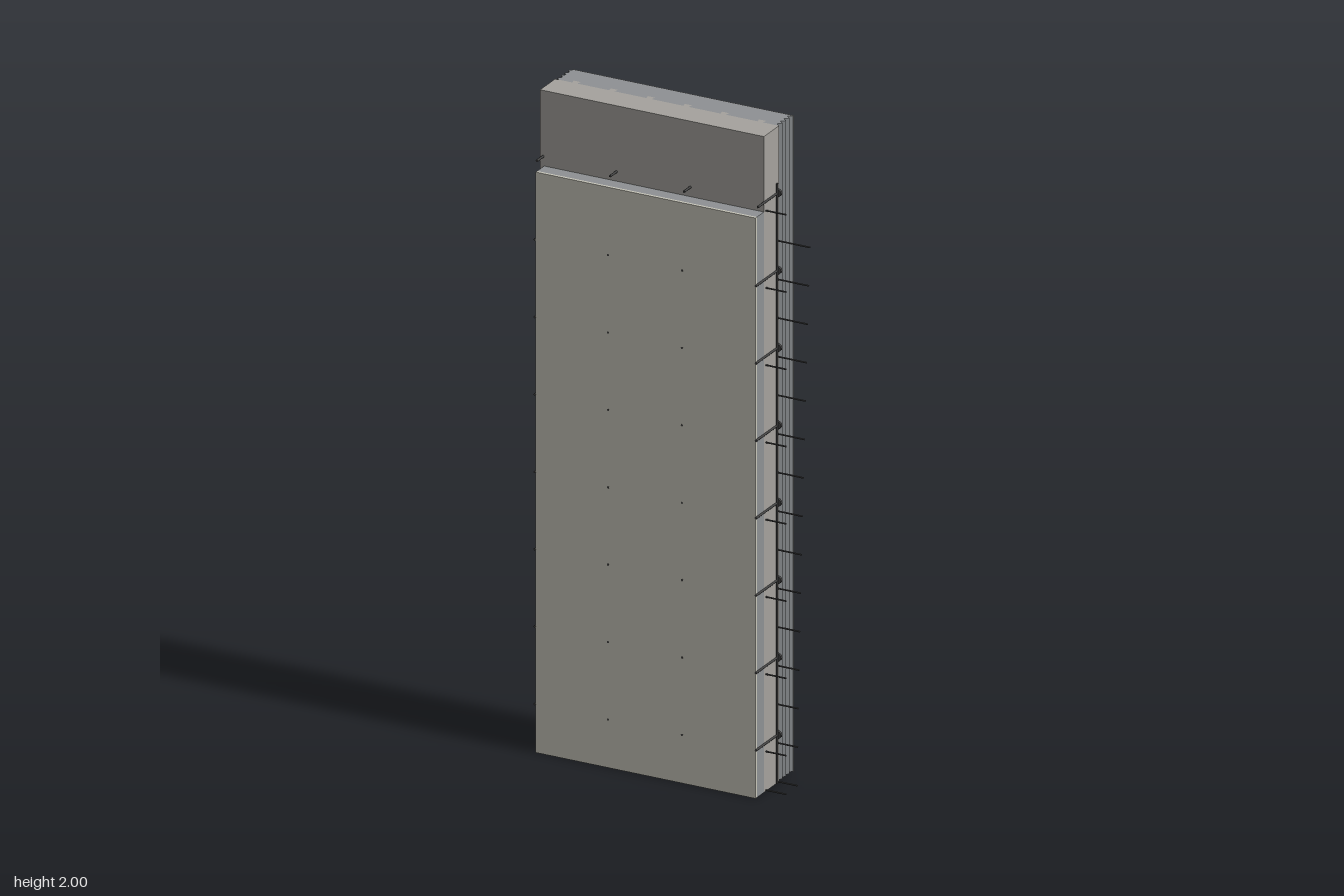
import * as THREE from 'three';

const mat = (color) => new THREE.MeshStandardMaterial({ color });
const BOARD = mat(0xc8c6ba), FOAM = mat(0x8e9194), CORE = mat(0xa5a29d), STEEL = mat(0x444444);
const L = -0.395, R = 0.307, JOIN = -0.027;

export function createModel() {
  const group = new THREE.Group();
  const add = (name, geometry, material, parent = group) => {
    const mesh = new THREE.Mesh(geometry, material);
    mesh.name = name;
    parent.add(mesh);
    return mesh;
  };

  // Plan outline given as [x, z] points, raised to a height
  const raise = (points, height) => {
    const shape = new THREE.Shape(points.map(([x, z]) => new THREE.Vector2(x, -z)));
    const geometry = new THREE.ExtrudeGeometry(shape, { depth: height, bevelEnabled: false });
    return geometry.rotateX(-Math.PI / 2);
  };
  const slab = (name, x0, x1, z0, z1, height, material) =>
    add(name, raise([[x0, z0], [x1, z0], [x1, z1], [x0, z1]], height), material);

  // Straight round bar between two points
  const bar = (name, a, b, radius, parent) => {
    const from = new THREE.Vector3(...a), to = new THREE.Vector3(...b);
    const dir = to.clone().sub(from);
    const mesh = add(name, new THREE.CylinderGeometry(radius, radius, dir.length(), 8), STEEL, parent);
    mesh.position.copy(from).add(to).multiplyScalar(0.5);
    mesh.quaternion.setFromUnitVectors(new THREE.Vector3(0, 1, 0), dir.normalize());
  };

  // Dovetail ribs where the core locks into the back layer
  const dovetails = [];
  for (let i = 0; i < 6; i++) {
    const x = -0.345 + i * 0.1185;
    dovetails.push([x - 0.008, JOIN], [x - 0.012, -0.041], [x + 0.012, -0.041], [x + 0.008, JOIN]);
  }

  // Back insulation: tongues on one edge, matching grooves on the other
  const teeth = [];
  for (let i = 0; i < 4; i++) {
    const z = -0.1 + i * 0.0205;
    teeth.push([0, z - 0.01], [-0.012, z]);
  }
  teeth.push([0, JOIN]);
  const leftEdge = teeth.map(([x, z]) => [L + x, z]);
  const rightEdge = teeth.map(([x, z]) => [R + x, z]).reverse();
  add('backInsulation', raise([...leftEdge, ...dovetails, ...rightEdge], 2), FOAM);
  slab('backBoard', L, R, -0.112, -0.11, 2, BOARD);

  // Core with dovetail ribs
  add('core', raise([[-0.408, JOIN], ...dovetails, [0.307, JOIN], [0.307, 0.062], [-0.408, 0.062]], 2), CORE);

  // Shorter front layer
  slab('frontInsulation', L, R, 0.062, 0.103, 1.77, FOAM);
  slab('frontBoard', L, R, 0.103, 0.112, 1.77, BOARD);

  // Ties through the layers, with round heads on the two edge columns
  const ties = new THREE.Group();
  ties.name = 'ties';
  group.add(ties);
  for (let row = 0; row < 8; row++) {
    const y = 0.147 + row * 0.236;
    for (const x of [-0.398, -0.164, 0.072, 0.308]) {
      const edge = x < -0.3 || x > 0.3;
      const back = edge || row === 7 ? -0.024 : -0.1125;
      const front = row === 7 ? 0.1 : 0.1125;
      bar('tie', [x, y, back], [x, y, front], 0.0035, ties);
      if (edge) {
        const head = add('tieHead', new THREE.CylinderGeometry(0.012, 0.012, 0.008, 12), STEEL, ties);
        head.rotation.x = Math.PI / 2;
        head.position.set(x, y, -0.019);
      }
    }
  }

  // Reinforcement: an upright and bars standing out of the edge
  const mesh = new THREE.Group();
  mesh.name = 'reinforcement';
  group.add(mesh);
  bar('upright', [0.309, 0, -0.012], [0.309, 1.83, -0.012], 0.003, mesh);
  for (let i = 0; i < 16; i++) {
    const y = 0.003 + i * 0.1178;
    const reach = i === 15 ? 0.37 : 0.37 + 0.04 * Math.pow(i / 14, 1.3);
    if (i < 15) bar('longBar', [0.28, y, -0.02], [reach, y, -0.02], 0.0025, mesh);
    if (i % 2 || i === 0) bar('shortBar', [0.28, y, 0.05], [0.372, y, 0.05], 0.0025, mesh);
  }
  return group;
}
